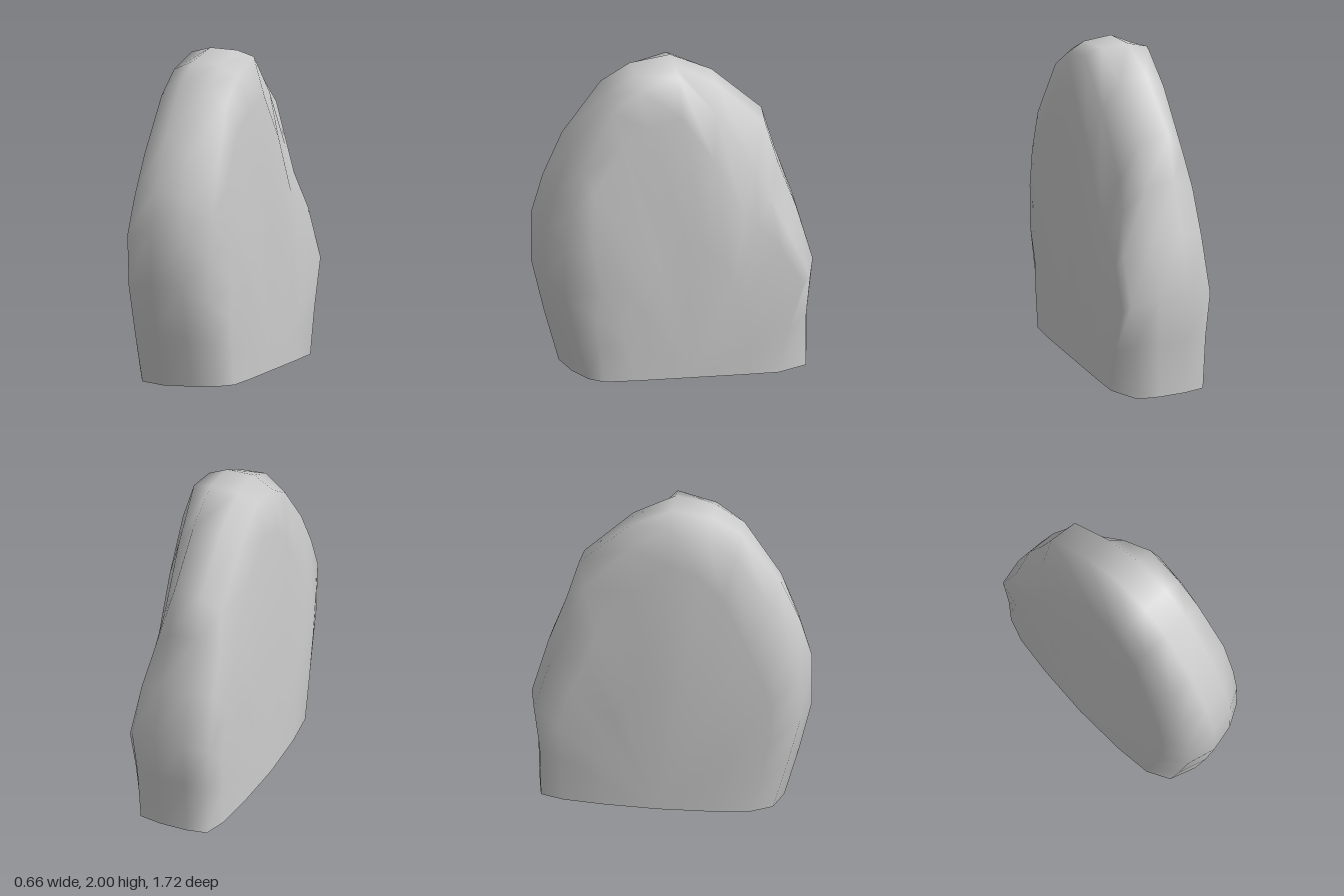
import * as THREE from 'three';
import { mergeVertices } from 'three/addons/utils/BufferGeometryUtils.js';

// Side outline [z, y], from the front foot over the top to the back foot
const OUTLINE = [
  [0.69, 0.03], [0.78, 0.36], [0.86, 0.7], [0.86, 1.03], [0.79, 1.27], [0.67, 1.54],
  [0.43, 1.86], [0.25, 1.965], [0, 2], [-0.26, 1.88], [-0.57, 1.6], [-0.65, 1.33],
  [-0.76, 1.02], [-0.86, 0.66], [-0.82, 0.35], [-0.81, 0],
];
const HUB = [-0.06, 0.015]; // middle of the foot: all cross-sections radiate from here

// Half widths [y, x] of the two broad sides
const LEFT = [[0, 0.315], [0.35, 0.32], [0.7, 0.328], [1, 0.31], [1.3, 0.285], [1.72, 0.28], [2, 0.21]];
const RIGHT = [[0, -0.33], [0.5, -0.32], [1, -0.31], [1.3, -0.295], [1.72, -0.26], [2, -0.21]];

// Rim profiles: outline step, then [x, share of the radius] from left to right
const RIMS = [
  [0, [[0.305, 0.72], [0.24, 0.84], [0.1, 0.94], [-0.08, 1], [-0.24, 0.93], [-0.31, 0.75]]],
  [3, [[0.3, 0.6], [0.25, 0.84], [0.1, 0.945], [-0.08, 1], [-0.26, 0.945], [-0.3, 0.75]]],
  [5, [[0.28, 0.82], [0.25, 0.9], [0.1, 0.97], [-0.08, 1], [-0.23, 0.94], [-0.275, 0.75]]],
  [6, [[0.27, 0.84], [0.22, 0.95], [0.1, 0.99], [-0.08, 1], [-0.22, 0.95], [-0.26, 0.8]]],
  [8, [[0.28, 0.86], [0.21, 0.985], [0.1, 1], [-0.08, 1], [-0.21, 0.98], [-0.26, 0.86]]],
  [10, [[0.28, 0.65], [0.2, 0.82], [0.1, 0.98], [-0.09, 1], [-0.2, 0.92], [-0.26, 0.75]]],
  [11, [[0.28, 0.72], [0.22, 0.85], [0.1, 0.98], [-0.09, 1], [-0.23, 0.94], [-0.27, 0.75]]],
  [12, [[0.29, 0.8], [0.26, 0.88], [0.1, 0.985], [-0.09, 1], [-0.24, 0.95], [-0.27, 0.77]]],
  [13, [[0.305, 0.87], [0.27, 0.93], [0.1, 0.99], [-0.09, 1], [-0.25, 0.96], [-0.27, 0.78]]],
  [15, [[0.31, 0.72], [0.22, 0.97], [0.08, 1], [-0.09, 1], [-0.22, 0.97], [-0.27, 0.78]]],
];

const { lerp, clamp } = THREE.MathUtils;

// Neighbouring rows of a table around a key, and the blend between them
function bracket(table, key) {
  let i = 1;
  while (i < table.length - 1 && table[i][0] < key) i++;
  const [k0, a] = table[i - 1], [k1, b] = table[i];
  return [a, b, clamp((key - k0) / (k1 - k0), 0, 1)];
}

// One cross-section, running from the left side over the rim to the right side
function section([z, y], i) {
  const point = (x, r) => [x, lerp(HUB[1], y, r), lerp(HUB[0], z, r)];
  const side = (table, r, scale) =>
    point(lerp(...bracket(table, lerp(HUB[1], y, r))) * scale, r);
  const [a, b, t] = bracket(RIMS, i);
  const rim = a.map(([x, r], j) => point(lerp(x, b[j][0], t), lerp(r, b[j][1], t)));
  const backTaper = 1 - 0.08 * clamp((i - 8) / 4, 0, 1);
  return [
    side(LEFT, 0, 1), side(LEFT, 0.45, 1),
    ...rim,
    side(RIGHT, 0.45, backTaper), side(RIGHT, 0, 1),
  ];
}

function toGeometry(points, index) {
  let g = new THREE.BufferGeometry();
  g.setAttribute('position', new THREE.Float32BufferAttribute(points.flat(), 3));
  g.setIndex(index);
  g = mergeVertices(g);
  g.computeVertexNormals();
  return g;
}

export function createModel() {
  const group = new THREE.Group();
  group.name = 'standingStone';
  const material = new THREE.MeshStandardMaterial({ color: 0xcccccc });
  const add = (name, geometry) => {
    const mesh = new THREE.Mesh(geometry, material);
    mesh.name = name;
    group.add(mesh);
  };

  // Smooth body: neighbouring sections joined with quads
  const sections = OUTLINE.map(section);
  const n = sections[0].length;
  const index = [];
  for (let i = 0; i < sections.length - 1; i++) {
    for (let j = 0; j < n - 1; j++) {
      const a = i * n + j, b = a + n;
      index.push(a, b, a + 1, b, b + 1, a + 1);
    }
  }
  add('stoneBody', toGeometry(sections.flat(), index));

  // Flat foot, a fan between the first and last sections
  const loop = [...sections[0], ...sections[sections.length - 1].slice().reverse()];
  const fan = [];
  loop.forEach((p, i) => fan.push(loop.length, i, (i + 1) % loop.length));
  add('stoneFoot', toGeometry([...loop, [0, HUB[1], HUB[0]]], fan));

  return group;
}
